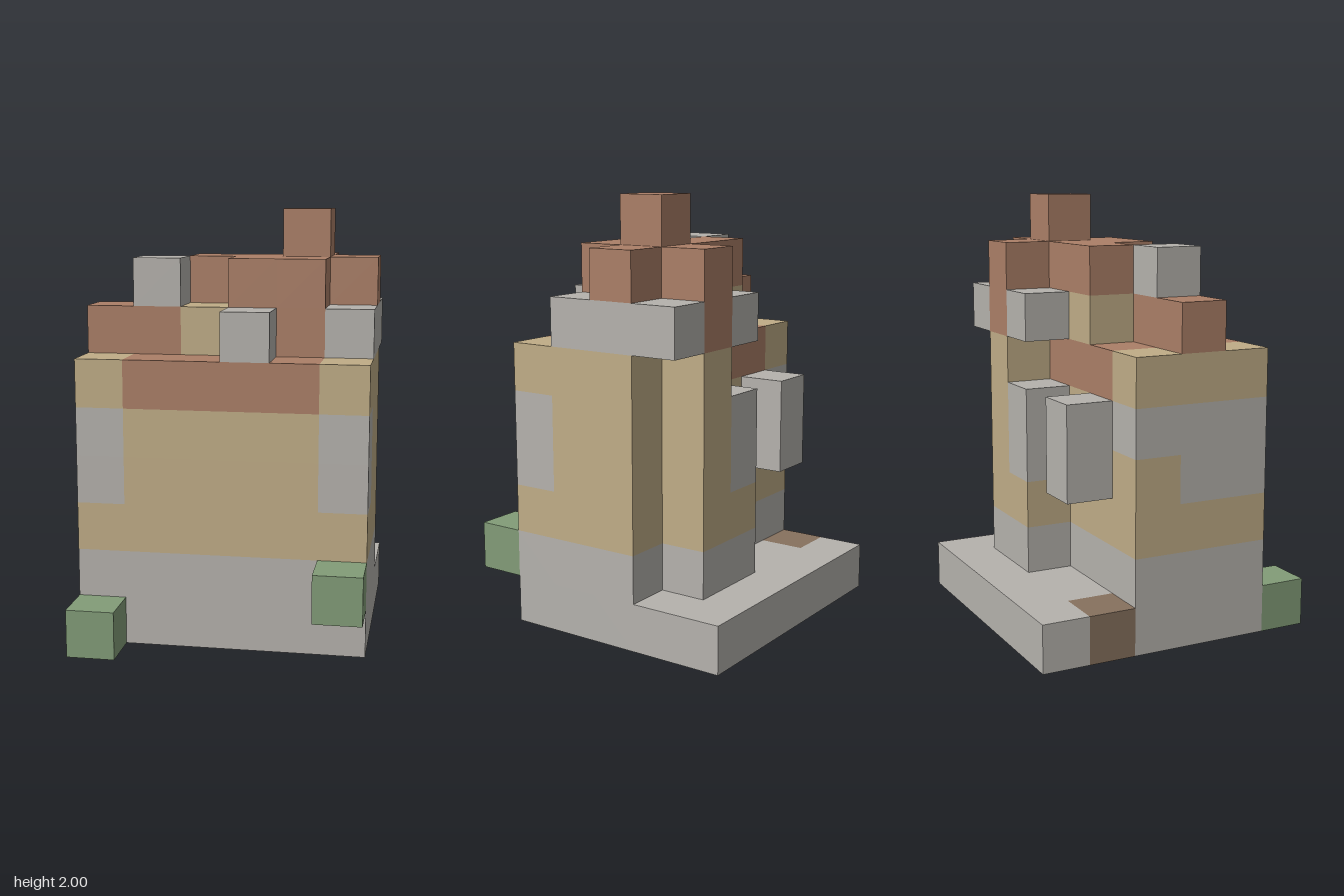
import * as THREE from 'three';

const UNIT = 2 / 9; // one block; the model is 6 x 9 x 6 blocks

const mat = (name, color) => {
  const m = new THREE.MeshStandardMaterial({ color, side: THREE.DoubleSide });
  m.name = name;
  return m;
};

// Outer faces of one part's blocks; the shell is open underneath
function shellGeometry(grid, part) {
  const positions = [];
  for (const { cell, owner } of grid.values()) {
    if (owner !== part) continue;
    for (let axis = 0; axis < 3; axis++) {
      for (const side of [0, 1]) {
        if (axis === 1 && side === 0) continue;
        const next = [...cell];
        next[axis] += side ? 1 : -1;
        if (grid.has(next.join())) continue;
        const corner = (a, b) => {
          const p = [...cell];
          p[axis] += side;
          p[(axis + 1) % 3] += a;
          p[(axis + 2) % 3] += b;
          return [(p[0] - 3) * UNIT, p[1] * UNIT, (p[2] - 3) * UNIT];
        };
        const q = [corner(0, 0), corner(1, 0), corner(1, 1), corner(0, 1)];
        if (!side) q.reverse();
        for (const n of [0, 1, 2, 0, 2, 3]) positions.push(...q[n]);
      }
    }
  }
  const geometry = new THREE.BufferGeometry();
  geometry.setAttribute('position', new THREE.Float32BufferAttribute(positions, 3));
  geometry.computeVertexNormals();
  return geometry;
}

export function createModel() {
  const stone = mat('stone grey', 0xb5b2ad);
  const sand = mat('sandy plaster', 0xc0ad87);
  const clay = mat('clay brown', 0xab7f67);
  const earth = mat('dark earth', 0x87715e);
  const leaf = mat('leaf green', 0x829c78);

  // Fills a box of blocks: x from the model's right, y up, z from the back.
  // A later box replaces earlier blocks.
  const grid = new Map();
  const materials = new Map();
  const fill = (part, material, x, y, z, w = 1, h = 1, d = 1) => {
    materials.set(part, material);
    for (let i = x; i < x + w; i++)
      for (let j = y; j < y + h; j++)
        for (let k = z; k < z + d; k++) grid.set(`${i},${j},${k}`, { cell: [i, j, k], owner: part });
  };

  // Base
  fill('backStep', stone, 0, 0, 0, 6, 1, 2);
  fill('stepPatch', earth, 0, 0, 1);
  fill('foundation', stone, 0, 0, 2, 6, 2, 3);
  fill('rightBush', leaf, 0, 0, 5);
  fill('leftBush', leaf, 5, 1, 5);

  // Walls
  fill('walls', sand, 0, 2, 2, 6, 4, 3);
  fill('wallTopBand', clay, 1, 5, 2, 4, 1, 3);
  fill('leftCornerStone', stone, 5, 3, 4, 1, 2);
  fill('rightCornerStone', stone, 0, 3, 3, 1, 2, 2);
  fill('rightCornerStone', stone, 0, 4, 2);

  // Chimney and buttresses on the back wall
  fill('chimneyBase', stone, 3, 1, 1, 2);
  fill('chimneyShaft', sand, 4, 2, 1, 1, 4);
  fill('chimneyTop', clay, 4, 6, 1, 1, 2);
  fill('innerButtressMiddle', sand, 3, 2, 1);
  fill('innerButtress', stone, 3, 3, 1, 1, 2);
  fill('outerButtress', stone, 1, 3, 1, 1, 2);

  // Stepped roof
  fill('roofLower', clay, 0, 6, 3, 2);
  fill('roofLower', clay, 3, 6, 2, 2, 1, 2);
  fill('roofCore', sand, 2, 6, 2, 1, 1, 2);
  fill('roofUpper', clay, 2, 7, 2, 4);
  fill('roofUpper', clay, 3, 7, 3, 2);
  fill('roofPeak', clay, 4, 8, 2);
  fill('leftRoofStone', stone, 5, 6, 1, 1, 1, 3);
  fill('backRoofStone', stone, 3, 6, 1);
  fill('frontRoofStone', stone, 3, 6, 4);
  fill('topRoofStone', stone, 1, 7, 3);

  const group = new THREE.Group();
  group.name = 'blockHouse';
  for (const [part, material] of materials) {
    const mesh = new THREE.Mesh(shellGeometry(grid, part), material);
    mesh.name = part;
    group.add(mesh);
  }
  return group;
}
